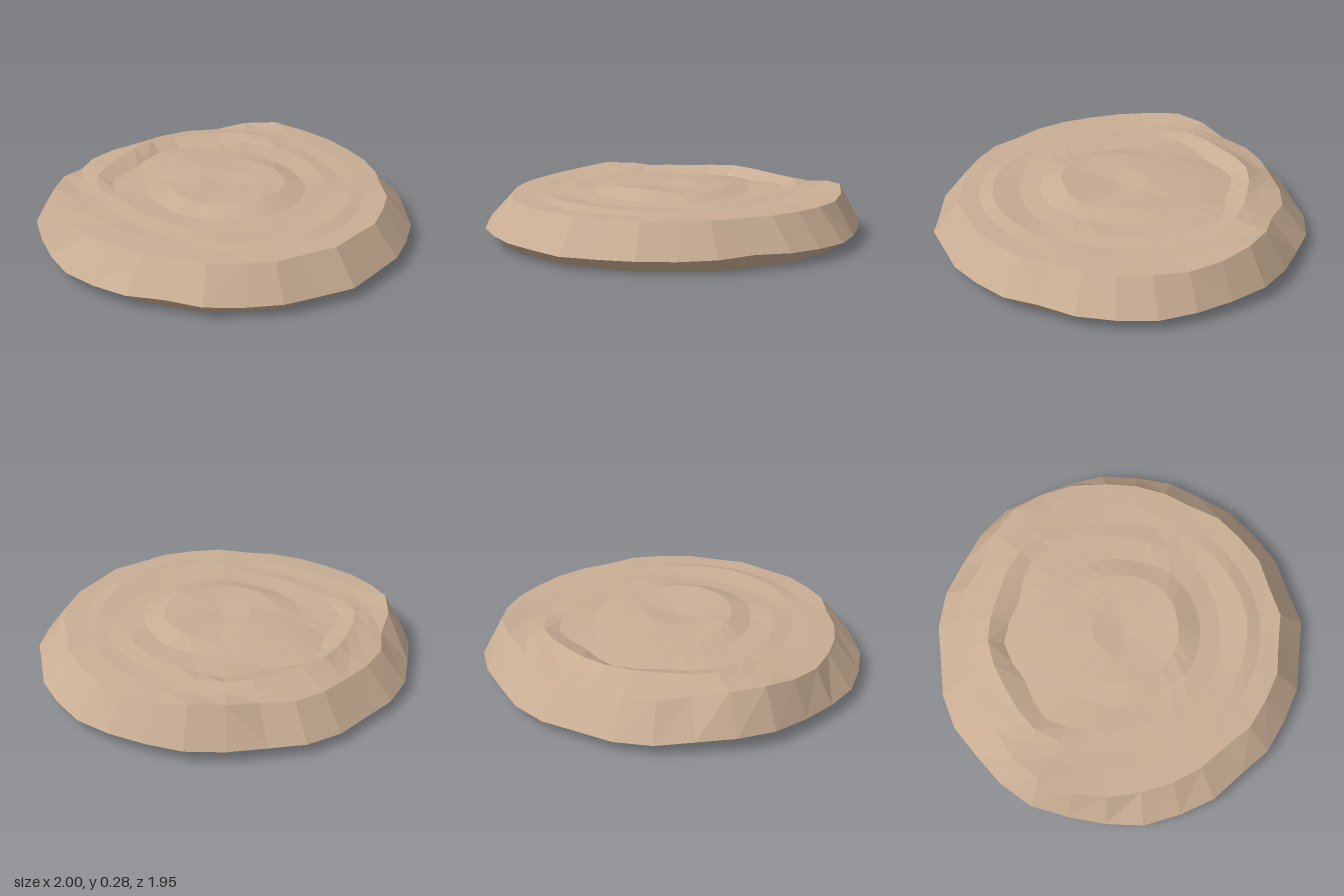
import * as THREE from 'three';

const SIDES = 32;
const HALF = SIDES / 2;

// Expands values listed from front to back (evenly spaced) to a mirrored ring of 32.
function spread(values) {
  const list = [].concat(values);
  return Array.from({ length: SIDES }, (_, i) => {
    const k = Math.min(i, SIDES - i) / HALF * (list.length - 1);
    const a = Math.floor(k), b = Math.min(a + 1, list.length - 1);
    return list[a] + (list[b] - list[a]) * (k - a);
  });
}

// One cross-section loop: radius and height, each from the front round to the back.
function ring(radii, heights) {
  const r = spread(radii), y = spread(heights);
  return r.map((radius, i) => {
    const a = i / SIDES * Math.PI * 2;
    return [radius * Math.sin(a), y[i], radius * Math.cos(a)];
  });
}

// Joins consecutive loops with flat facets.
function loft(rings) {
  const pos = [];
  for (let j = 0; j < rings.length - 1; j++) {
    for (let i = 0; i < SIDES; i++) {
      const n = (i + 1) % SIDES;
      const a = rings[j][i], b = rings[j + 1][i], c = rings[j + 1][n], d = rings[j][n];
      // Mirror the diagonal so both halves match
      if (i < HALF) pos.push(...a, ...b, ...c, ...a, ...c, ...d);
      else pos.push(...a, ...b, ...d, ...b, ...c, ...d);
    }
  }
  const geo = new THREE.BufferGeometry();
  geo.setAttribute('position', new THREE.Float32BufferAttribute(pos, 3));
  geo.computeVertexNormals();
  return geo;
}

export function createModel() {
  const group = new THREE.Group();
  group.name = 'lumpyDisc';
  const tan = new THREE.MeshStandardMaterial({ color: 0xc8ad93, flatShading: true });
  tan.name = 'tan';

  // Shared outlines
  const shoulder = ring(
    [.84, .82, .838, .83, .835, .815, .835, .85, .865, .89, .9, .905, .88, .84, .865, .855, .84],
    [.225, .225, .225, .228, .228, .225, .225, .225, .225, .228, .24, .26, .25, .225, .215, .212, .21]);
  const rim = ring(
    [.975, .95, .965, .96, .97, .955, .98, .985, 1, .99, .99, 1.01, 1, .985, 1, .995, .975],
    [.06, .06, .065, .065, .07, .078, .07, .063, .06, .06, .063, .07, .07, .065, .055, .05, .05]);
  const foot = ring(
    [.87, .87, .885, .88, .89, .88, .89, .89, .9, .89, .89, .9, .9, .88, .89, .88, .865], 0);

  // Lumpy upper surface, from the middle outward
  const top = [
    ring(0, .25),
    ring([.16, .15, .16, .15, .16], [.268, .262, .262, .265, .27]),
    ring([.29, .3, .3, .3, .3, .3, .31, .32, .33],
      [.285, .278, .268, .265, .268, .262, .255, .258, .26]),
    ring([.41, .41, .41, .4, .41, .42, .42, .45, .48],
      [.238, .24, .245, .235, .235, .24, .245, .245, .245]),
    ring([.515, .52, .54, .52, .54, .57, .62, .57, .62],
      [.228, .23, .236, .242, .242, .245, .238, .226, .225]),
    ring([.66, .65, .64, .62, .63, .66, .7, .68, .7],
      [.245, .242, .236, .23, .23, .24, .262, .265, .275]),
    ring([.73, .72, .71, .7, .73, .77, .78, .75, .77],
      [.226, .227, .23, .232, .232, .24, .252, .24, .238]),
    shoulder,
  ];

  const parts = {
    upperSurface: top,
    slopedSide: [shoulder, rim],
    lowerBevel: [rim, foot],
    underside: [foot, ring(0, 0)],
  };
  for (const [name, rings] of Object.entries(parts)) {
    const mesh = new THREE.Mesh(loft(rings), tan);
    mesh.name = name;
    group.add(mesh);
  }
  return group;
}
